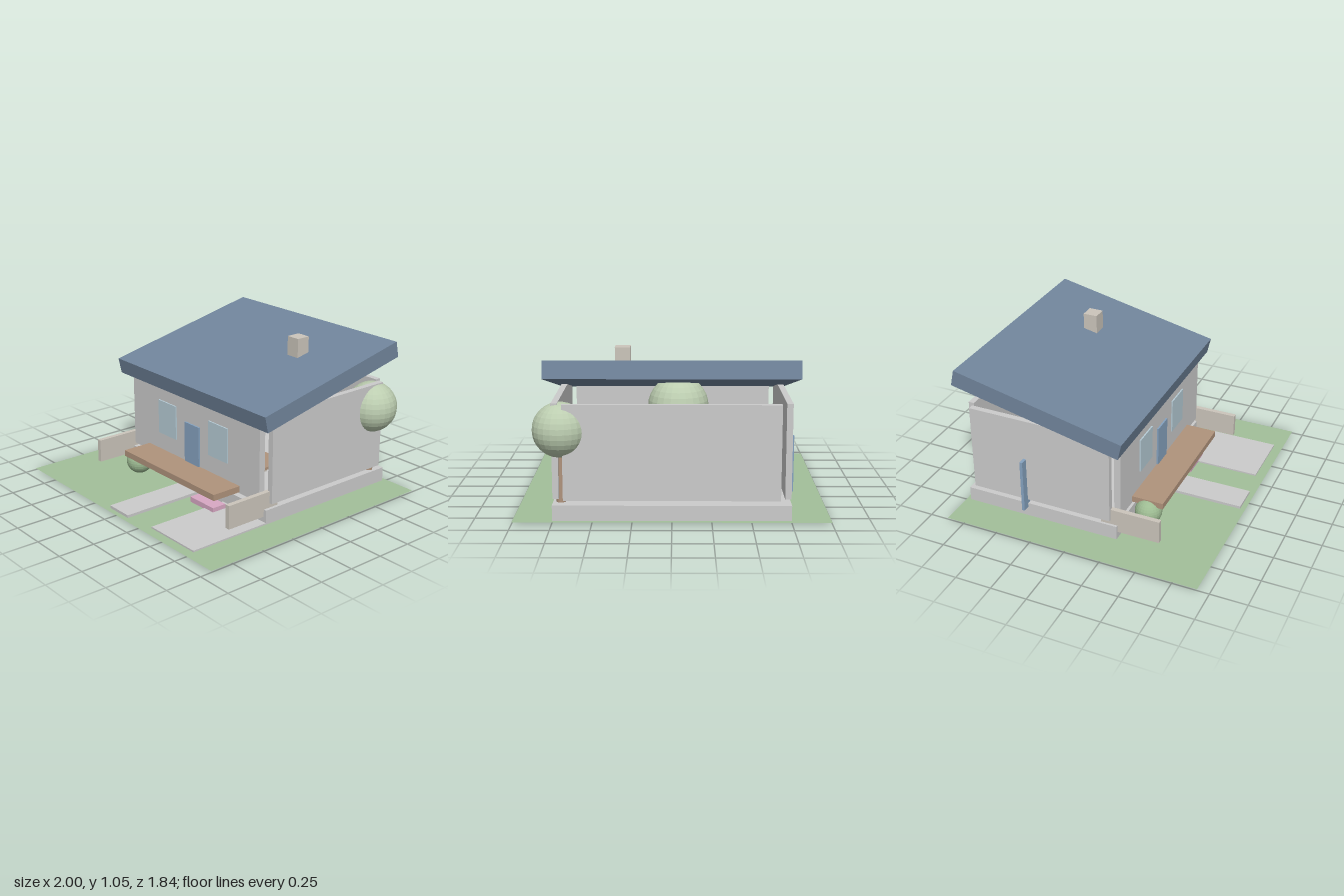
import * as THREE from 'three';

const mat = (color, extra = {}) => new THREE.MeshStandardMaterial({ color, ...extra });
const grey = mat(0xcccccc);
const roofBlue = mat(0x71859c);
const doorBlue = mat(0x86a3c0);
const glass = mat(0xb6ccd6);
const wood = mat(0xb0937c);
const stone = mat(0xcbc5bb);
const pink = mat(0xd8a8c4);
const lawn = mat(0xa3c09a, { side: THREE.DoubleSide });
const bushGreen = mat(0x9dbb92, { flatShading: true });
const leafGreen = mat(0xbccdb0, { flatShading: true });

export function createModel() {
  const model = new THREE.Group();
  model.name = 'house';

  const add = (name, geometry, material, x, y, z, parent = model) => {
    const mesh = new THREE.Mesh(geometry, material);
    mesh.name = name;
    mesh.position.set(x, y, z);
    parent.add(mesh);
    return mesh;
  };
  // Box given by its extents along each axis
  const box = (name, material, [x0, x1], [y0, y1], [z0, z1], parent) =>
    add(name, new THREE.BoxGeometry(x1 - x0, y1 - y0, z1 - z0), material,
      (x0 + x1) / 2, (y0 + y1) / 2, (z0 + z1) / 2, parent);

  // Garden ground, paths and planting bed
  const ground = new THREE.PlaneGeometry(2, 1.79).rotateX(-Math.PI / 2);
  add('lawn', ground, lawn, 0, 0.01, 0.024);
  box('gardenPath', grey, [-0.1, 0.1], [0.011, 0.03], [0.285, 0.885]);
  box('driveway', grey, [0.32, 0.75], [0.011, 0.022], [0.085, 0.855]);
  box('flowerBed', pink, [0.17, 0.41], [0.015, 0.052], [0.315, 0.42]);

  // Foundation and four separate wall panels
  box('foundation', grey, [-0.75, 0.75], [0.011, 0.11], [-0.84, 0.26]);
  const wallY = [0.14, 0.75];
  box('frontWall', grey, [-0.68, 0.68], wallY, [0.213, 0.258]);
  box('backWall', grey, [-0.68, 0.68], wallY, [-0.84, -0.8]);
  box('leftWall', grey, [0.71, 0.75], wallY, [-0.795, 0.21]);
  box('rightWall', grey, [-0.75, -0.71], wallY, [-0.795, 0.21]);

  // Single-pitch roof and chimney
  const roof = add('roof', new THREE.BoxGeometry(1.575, 0.113, 1.208), roofBlue, 0, 0.845, -0.29);
  roof.rotation.x = Math.atan2(0.26, 1.18);
  box('chimney', stone, [0.268, 0.368], [0.85, 1.05], [-0.455, -0.355]);

  // Doors and windows
  box('frontDoor', doorBlue, [-0.08, 0.075], [0.08, 0.48], [0.245, 0.27]);
  box('sideDoor', doorBlue, [-0.8, -0.7], [0.08, 0.46], [-0.41, -0.39]);
  for (const s of [-1, 1])
    box('frontWindow', glass, s < 0 ? [-0.375, -0.18] : [0.175, 0.37], [0.315, 0.56], [0.245, 0.268]);
  box('innerWindow', glass, [0.44, 0.635], [0.315, 0.56], [-0.32, -0.3]);

  // Porch deck, step and low side walls
  box('porchDeck', wood, [-0.5, 0.49], [0.15, 0.193], [0.26, 0.48]);
  box('porchStep', wood, [-0.2, 0.2], [0.088, 0.115], [0.265, 0.38]);
  for (const s of [-1, 1])
    box('sideWall', stone, s < 0 ? [-0.733, -0.7] : [0.695, 0.728], [0.06, 0.222], [0.14, 0.552]);

  // Low table inside
  const table = new THREE.Group();
  table.name = 'table';
  model.add(table);
  box('tableTop', wood, [-0.28, 0.28], [0.12, 0.14], [-0.35, -0.14], table);
  for (const x of [-0.28, 0.25])
    for (const z of [-0.35, -0.17])
      box('tableLeg', stone, [x, x + 0.03], [0.02, 0.12], [z, z + 0.03], table);

  // Trees and bush
  const tree = (x, z, base, crownY, radius) => {
    const group = new THREE.Group();
    group.name = 'tree';
    group.position.set(x, 0, z);
    model.add(group);
    const h = crownY - base;
    add('trunk', new THREE.CylinderGeometry(0.022, 0.03, h, 12), wood, 0, base + h / 2, 0, group);
    add('crown', new THREE.SphereGeometry(radius, 24, 16), leafGreen, 0, crownY, 0, group);
  };
  tree(0.7, -0.745, 0.02, 0.575, 0.175);
  tree(-0.04, -0.29, 0, 0.64, 0.2);
  add('bush', new THREE.SphereGeometry(0.092, 24, 16), bushGreen, -0.477, 0.097, 0.37);

  return model;
}
